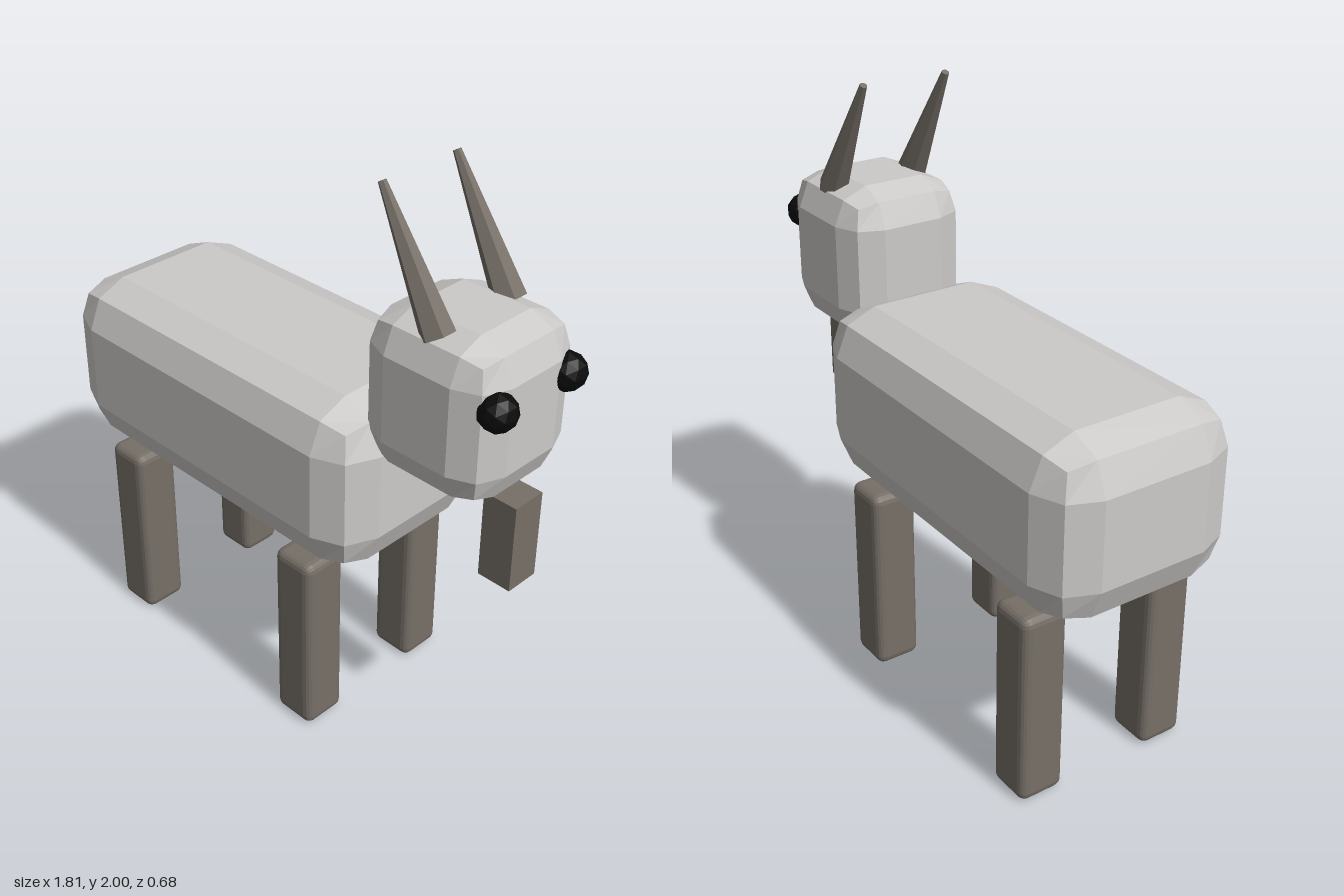
import * as THREE from 'three';
import { RoundedBoxGeometry } from 'three/addons/geometries/RoundedBoxGeometry.js';

function material(name, color) {
  const m = new THREE.MeshStandardMaterial({ color, flatShading: true });
  m.name = name;
  return m;
}

export function createModel() {
  const goat = new THREE.Group();
  goat.name = 'goat';
  const wool = material('paleGreyWool', 0xcccac8);
  const horn = material('brownGreyHorn', 0x766f67);
  const black = material('eyeBlack', 0x0a0a0a);

  const add = (name, geometry, mat, x, y, z) => {
    const mesh = new THREE.Mesh(geometry, mat);
    mesh.name = name;
    mesh.position.set(x, y, z);
    goat.add(mesh);
    return mesh;
  };

  // Chamfered torso and head
  add('body', new RoundedBoxGeometry(1.364, 0.6, 0.682, 1, 0.15), wool, -0.227, 0.99, 0);
  add('head', new RoundedBoxGeometry(0.485, 0.53, 0.455, 1, 0.12), wool, 0.608, 1.372, 0);

  // Beard hanging below the muzzle
  add('beard', new THREE.BoxGeometry(0.12, 0.303, 0.12), horn, 0.805, 0.947, 0);

  const legShape = new RoundedBoxGeometry(0.162, 0.682, 0.162, 2, 0.03);
  const hornShape = new THREE.CylinderGeometry(0.013, 0.053, 0.45, 6);
  const eyeShape = new THREE.IcosahedronGeometry(0.061, 1);

  for (const [label, side] of [['left', -1], ['right', 1]]) {
    // Legs
    add(label + 'FrontLeg', legShape, horn, 0.2, 0.344, side * 0.243);
    add(label + 'BackLeg', legShape, horn, -0.65, 0.344, side * 0.243);

    // Horns swept backwards
    add(label + 'Horn', hornShape, horn, 0.508, 1.8, side * 0.153).rotation.z = Math.PI / 6;

    // Eyes
    add(label + 'Eye', eyeShape, black, 0.841, 1.461, side * 0.153);
  }
  return goat;
}
